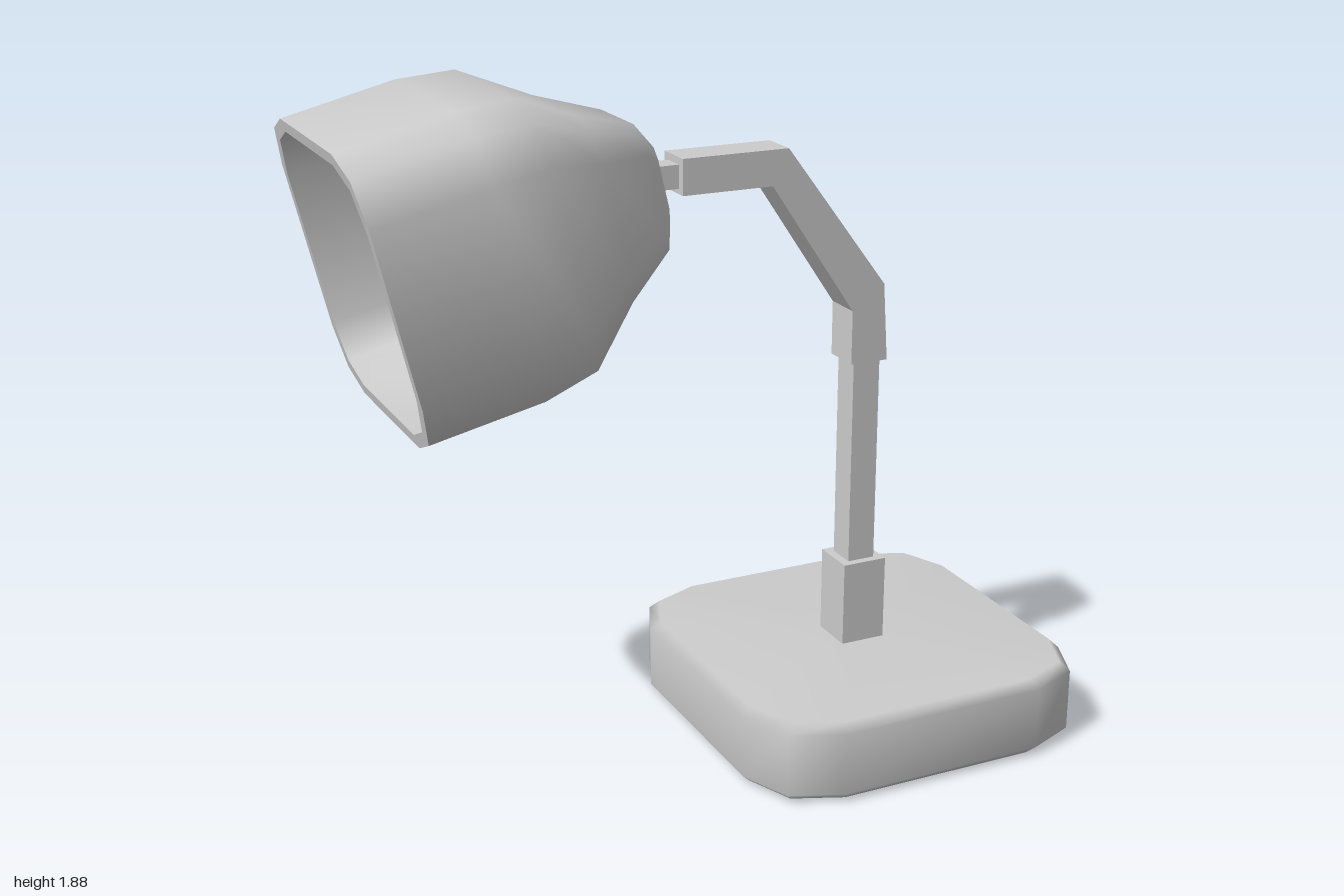
import * as THREE from 'three';
import { toCreasedNormals } from 'three/addons/utils/BufferGeometryUtils.js';

const material = new THREE.MeshStandardMaterial({ color: 0xcccccc });

// Square cross-section with two-step rounded corners, as [x, z] pairs.
function roundedSquare(half) {
  const points = [];
  const radius = 0.4 * half;
  for (let corner = 0; corner < 4; corner++) {
    const mid = corner * Math.PI / 2 + Math.PI / 4;
    const reach = (half - radius) * Math.SQRT2;
    for (let step = -1; step <= 1; step++) {
      const a = mid + step * Math.PI / 4;
      points.push([
        reach * Math.cos(mid) + radius * Math.cos(a),
        reach * Math.sin(mid) + radius * Math.sin(a),
      ]);
    }
  }
  return points;
}

// Skin rounded squares along y; profile is a list of [y, half width], capped at both ends.
function loft(profile) {
  const positions = [];
  const index = [];
  const n = 12;
  for (const [y, half] of profile) {
    for (const [x, z] of roundedSquare(half)) positions.push(x, y, z);
  }
  const last = (profile.length - 1) * n;
  const startCentre = profile.length * n;
  positions.push(0, profile[0][0], 0, 0, profile[profile.length - 1][0], 0);
  for (let j = 0; j < n; j++) {
    const k = (j + 1) % n;
    for (let row = 0; row < last; row += n) {
      index.push(row + j, row + n + j, row + k, row + k, row + n + j, row + n + k);
    }
    index.push(startCentre, j, k, startCentre + 1, last + k, last + j);
  }
  const geometry = new THREE.BufferGeometry();
  geometry.setAttribute('position', new THREE.Float32BufferAttribute(positions, 3));
  geometry.setIndex(index);
  geometry.computeVertexNormals();
  return geometry;
}

export function createModel() {
  const lamp = new THREE.Group();
  lamp.name = 'deskLamp';

  const add = (name, geometry, x = 0, y = 0, z = 0) => {
    const mesh = new THREE.Mesh(geometry, material);
    mesh.name = name;
    mesh.position.set(x, y, z);
    lamp.add(mesh);
    return mesh;
  };

  // Heavy base with softened edges
  add('base', loft([[0, 0.475], [0.025, 0.5], [0.2, 0.5], [0.225, 0.475]]), 0.5);

  // Socket and upright post
  add('socket', new THREE.BoxGeometry(0.13, 0.27, 0.13), 0.495, 0.33);
  add('post', new THREE.BoxGeometry(0.08, 0.7, 0.084), 0.495, 0.76);

  // Bent arm
  const outline = [
    [0.55, 1.05], [0.535, 1.265], [0.24, 1.66], [-0.06, 1.66],
    [-0.06, 1.565], [0.195, 1.565], [0.44, 1.2], [0.44, 1.05],
  ].map(([x, y]) => new THREE.Vector2(x, y));
  const arm = new THREE.ExtrudeGeometry(new THREE.Shape(outline), { depth: 0.11, bevelEnabled: false });
  add('arm', arm, 0, 0, -0.055);

  // Neck between arm and shade
  add('neck', new THREE.BoxGeometry(0.1, 0.062, 0.064), -0.1, 1.61);

  // Hollow shade: inner wall from back to rim, then outer wall from rim to back
  const outer = [[0, 0.372], [0.3, 0.375], [0.45, 0.355], [0.61, 0.248], [0.76, 0.17], [0.8, 0.108]];
  const inner = outer.map(([y, half], i) => [i ? y - 0.02 : 0, half - 0.03]).reverse();
  const shade = add('shade', toCreasedNormals(loft([...inner, ...outer]), 0.95), -0.915, 1.43);
  shade.rotation.z = -1.339;

  return lamp;
}
